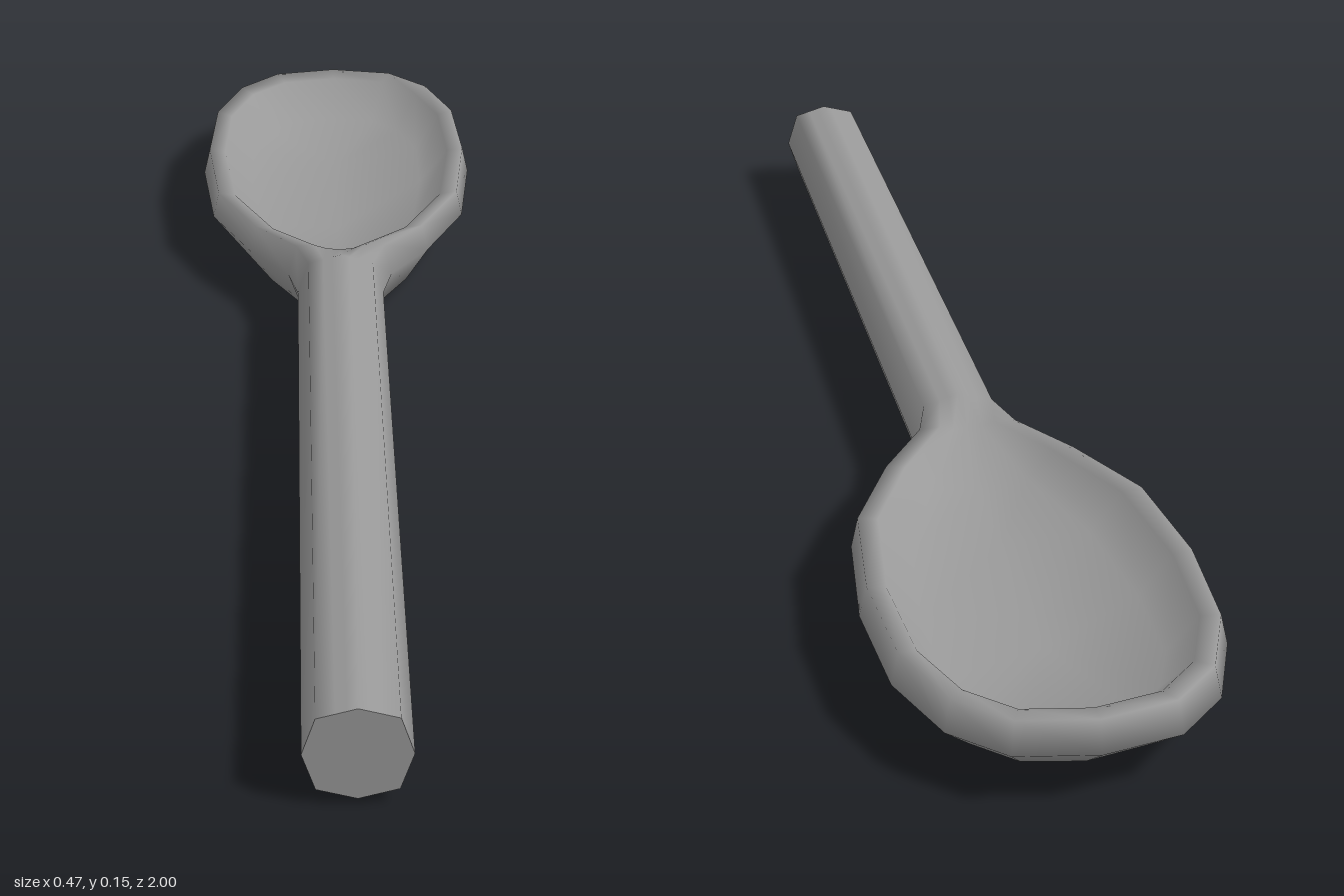
import * as THREE from 'three';
import { mergeVertices } from 'three/addons/utils/BufferGeometryUtils.js';

// z from which the sections fan out around the rounded end of the bowl
const FAN_Z = -0.72;

// Stations from handle end to tip: half width, z, then
// [share of half width, y] for lower edge, top edge, inner lip, floor edge, and y of floor centre and bottom centre
const STATIONS = [
  [0.07, 1.0, [0.75, 0.025], [0.75, 0.135], [0.4, 0.142], [0.2, 0.146], 0.15, 0.01],
  [0.07, -0.18, [0.75, 0.025], [0.75, 0.135], [0.4, 0.142], [0.2, 0.146], 0.15, 0.01],
  [0.086, -0.245, [0.75, 0.025], [0.84, 0.133], [0.48, 0.134], [0.25, 0.128], 0.126, 0.009],
  [0.15, -0.33, [0.76, 0.024], [0.93, 0.126], [0.74, 0.122], [0.48, 0.078], 0.07, 0.007],
  [0.215, -0.46, [0.77, 0.024], [0.955, 0.125], [0.82, 0.12], [0.6, 0.062], 0.055, 0.004],
  [0.236, -0.635, [0.77, 0.024], [0.955, 0.125], [0.84, 0.12], [0.64, 0.06], 0.052, 0.001],
  [0.225, -0.8, [0.77, 0.024], [0.955, 0.125], [0.84, 0.12], [0.66, 0.06], 0.052, 0.001],
  [0.18, -0.915, [0.76, 0.023], [0.955, 0.125], [0.84, 0.12], [0.66, 0.06], 0.052, 0.001],
  [0.11, -0.98, [0.75, 0.021], [0.955, 0.125], [0.84, 0.12], [0.66, 0.06], 0.052, 0.001],
  [0, -1.0, [0.75, 0.02], [0.955, 0.125], [0.84, 0.12], [0.66, 0.06], 0.052, 0.001],
];

// Half section running from the bottom centre, round the edge, to the floor centre
function halfSection([w, z, lower, top, lip, floor, floorY, bottomY], side) {
  const spineZ = Math.max(z, FAN_Z);
  return [[0, bottomY], lower, [1, 0.08], top, lip, floor, [0, floorY]]
    .map(([k, y]) => [side * w * k, y, spineZ + (z - spineZ) * k]);
}

function loft(sections) {
  const n = sections[0].length;
  const index = [];
  for (let i = 0; i < sections.length - 1; i++) {
    for (let j = 0; j < n - 1; j++) {
      const a = i * n + j, b = a + n;
      index.push(a, b, a + 1, b, b + 1, a + 1);
    }
  }
  const geometry = new THREE.BufferGeometry();
  geometry.setAttribute('position', new THREE.Float32BufferAttribute(sections.flat(2), 3));
  geometry.setIndex(index);
  const merged = mergeVertices(geometry, 1e-4);
  merged.computeVertexNormals();
  return merged;
}

export function createModel() {
  const group = new THREE.Group();
  group.name = 'spoon';
  const grey = new THREE.MeshStandardMaterial({ color: 0x999999 });
  grey.name = 'grey';

  // Handle and bowl: one smooth skin, up the right side, round the tip, back down the left
  const right = STATIONS.map((s) => halfSection(s, 1));
  const left = STATIONS.slice(0, -1).map((s) => halfSection(s, -1)).reverse();
  const body = new THREE.Mesh(loft([...right, ...left]), grey);
  body.name = 'handleAndBowl';
  group.add(body);

  // Flat eight-sided end of the handle
  const outline = [...right[0], ...left[left.length - 1].slice(1, -1).reverse()]
    .map(([x, y]) => new THREE.Vector2(x, y));
  const cap = new THREE.Mesh(new THREE.ShapeGeometry(new THREE.Shape(outline)), grey);
  cap.name = 'handleEnd';
  cap.position.z = 1;
  group.add(cap);

  return group;
}
